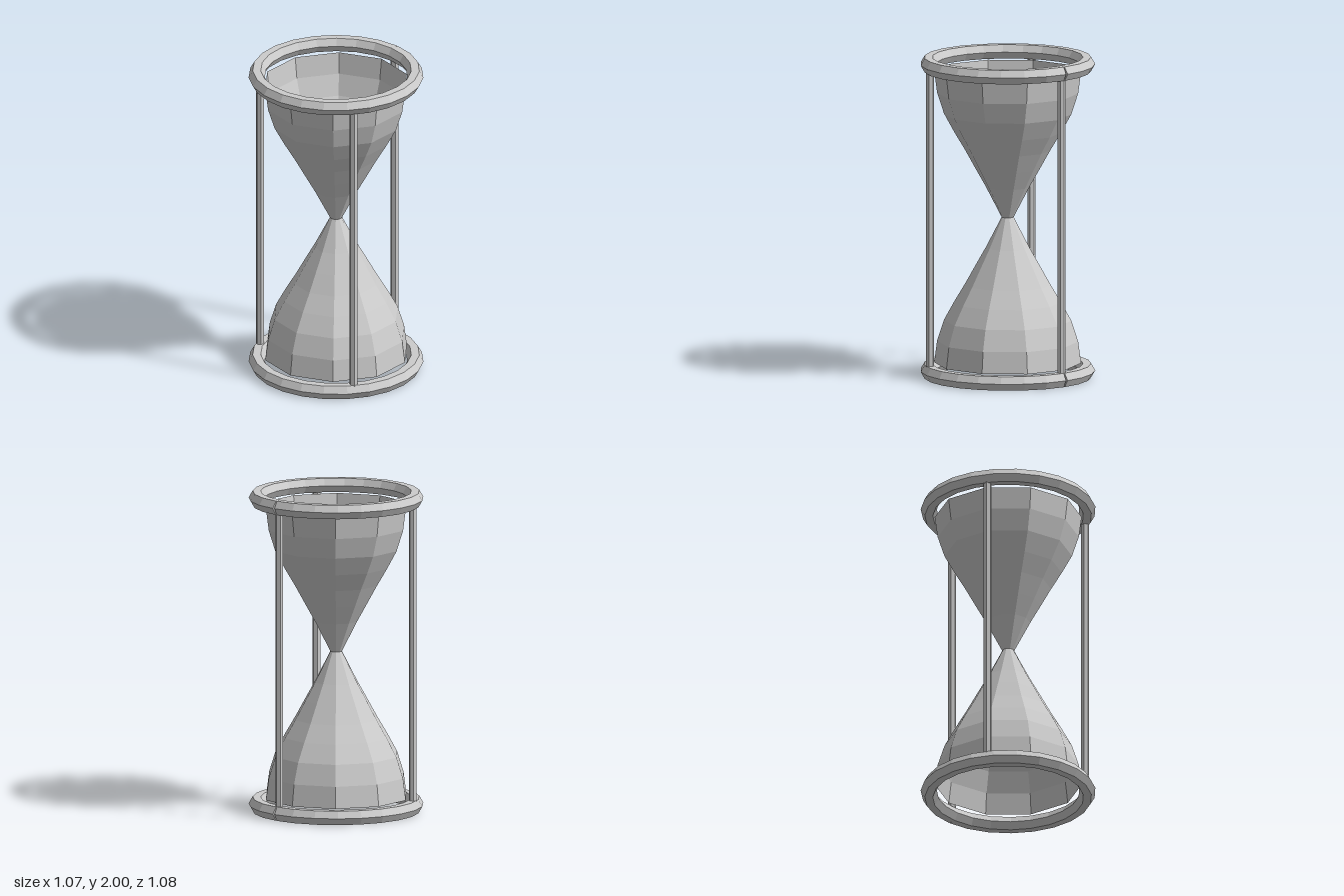
import * as THREE from 'three';

const frameGrey = new THREE.MeshStandardMaterial({ color: 0xcccccc, flatShading: true, side: THREE.DoubleSide });
frameGrey.name = 'plain grey';

const RING_R = 0.49, TUBE_R = 0.05, RING_STEPS = 23, SIDES = 6;
const RING_Y = TUBE_R * Math.sin(Math.PI / 3); // half height of the hexagonal tube

// Hexagonal tube bent into a split ring; both ends are cut square, leaving a small V gap at +x
function ringGeometry() {
  const pos = [], index = [];
  const step = (Math.PI * 2) / RING_STEPS;
  for (let i = 0; i <= RING_STEPS; i++) {
    const a = i * step;
    const dir = i === 0 ? a + step / 2 : i === RING_STEPS ? a - step / 2 : a;
    for (let j = 0; j < SIDES; j++) {
      const t = (j / SIDES) * Math.PI * 2;
      const off = TUBE_R * Math.cos(t);
      pos.push(
        RING_R * Math.cos(a) + off * Math.cos(dir),
        TUBE_R * Math.sin(t),
        -RING_R * Math.sin(a) - off * Math.sin(dir));
      if (i < RING_STEPS) {
        const k = (j + 1) % SIDES;
        const p = i * SIDES + j, q = i * SIDES + k;
        index.push(p, p + SIDES, q, q, p + SIDES, q + SIDES);
      }
    }
  }
  // end caps
  const e = RING_STEPS * SIDES;
  for (let j = 1; j < SIDES - 1; j++) {
    index.push(0, j, j + 1, e, e + j + 1, e + j);
  }
  const g = new THREE.BufferGeometry();
  g.setAttribute('position', new THREE.Float32BufferAttribute(pos, 3));
  g.setIndex(index);
  g.computeVertexNormals();
  return g;
}

// Ten-sided open bulb; profile is radius and height above the neck
function bulbGeometry() {
  const profile = [
    [0.037, 0], [0.135, 0.19], [0.2, 0.305], [0.264, 0.42],
    [0.33, 0.53], [0.393, 0.645], [0.435, 0.775], [0.453, 0.91],
  ].map(([r, y]) => new THREE.Vector2(r, y));
  return new THREE.LatheGeometry(profile, 10);
}

export function createModel() {
  const model = new THREE.Group();
  model.name = 'hourglass';

  const add = (geometry, name, x, y, z) => {
    const mesh = new THREE.Mesh(geometry, frameGrey);
    mesh.name = name;
    mesh.position.set(x, y, z);
    model.add(mesh);
    return mesh;
  };

  // end rings
  const ring = ringGeometry();
  add(ring, 'bottomRing', 0, RING_Y, 0);
  add(ring, 'topRing', 0, 2 - RING_Y, 0);

  // glass bulbs meeting at the open neck
  const turn = THREE.MathUtils.degToRad(9);
  const upper = bulbGeometry();
  upper.rotateY(-turn);
  add(upper, 'upperBulb', 0, 1, 0);
  const lower = bulbGeometry();
  lower.rotateX(Math.PI);
  lower.rotateY(-turn);
  add(lower, 'lowerBulb', 0, 1, 0);

  // three hexagonal posts joining the rings
  const postGeo = new THREE.CylinderGeometry(0.025, 0.025, 2 - 2 * RING_Y, 6);
  postGeo.rotateY(Math.PI / 2);
  for (let i = 0; i < 3; i++) {
    const a = (i * Math.PI * 2) / 3;
    add(postGeo, 'post' + (i + 1), RING_R * Math.cos(a), 1, RING_R * Math.sin(a));
  }
  return model;
}
